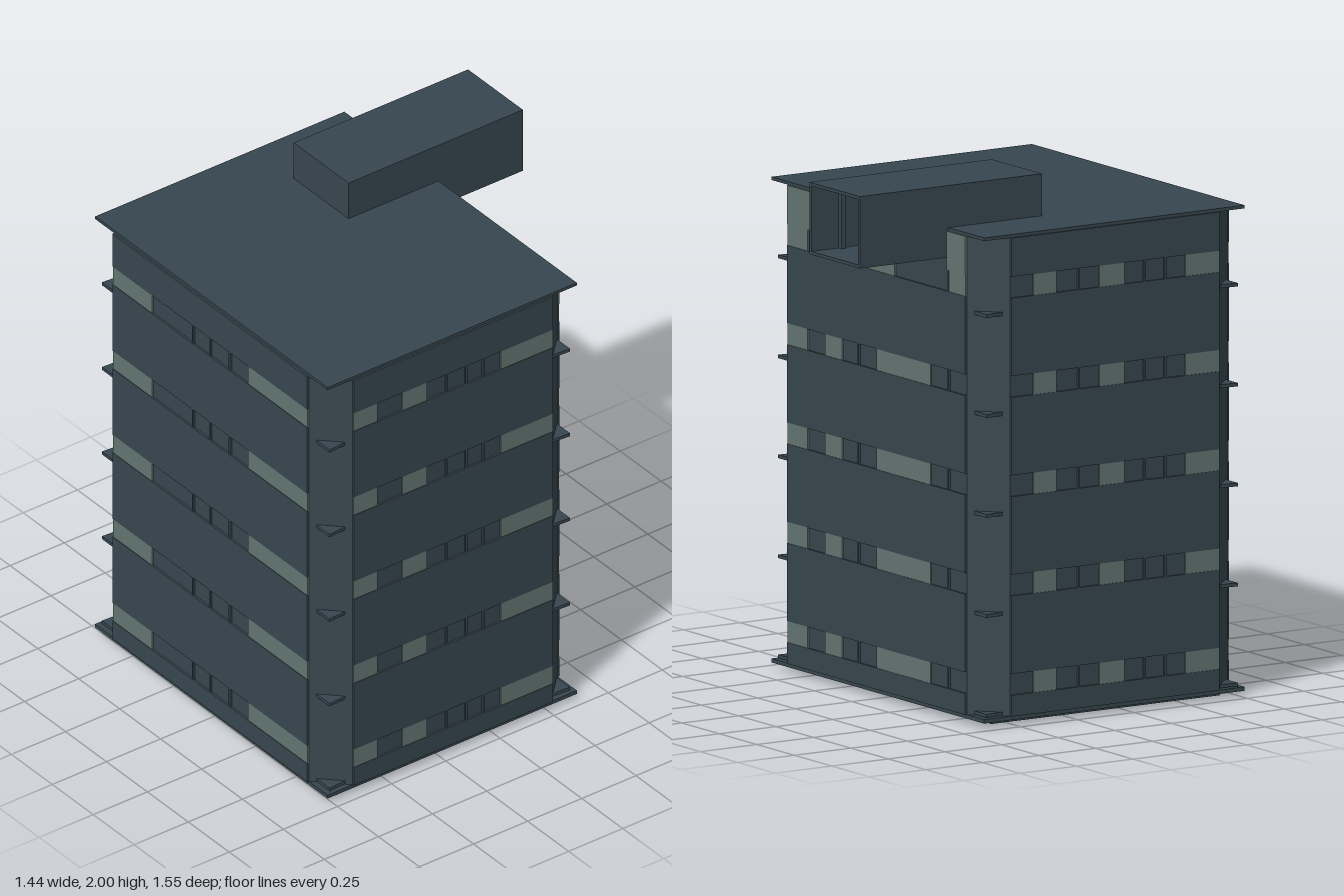
import * as THREE from 'three';

const wall = new THREE.MeshStandardMaterial({ color: 0x37474f });
wall.name = 'slate wall';
const glass = new THREE.MeshStandardMaterial({ color: 0x637572 });
glass.name = 'pale window';

const FLOORS = 5, PITCH = 0.3725, SILL = 0.115, WIN_H = 0.08, TOP = 1.83;
const X = 0.71, FRONT = 0.765, BACK = -0.385, CUT = 0.115; // plan extents and corner chamfer
const MID_Z = (FRONT + BACK) / 2;
const DUCT = { x0: -0.47, x1: -0.135, z0: -0.775, z1: 0.03, y0: 1.73, y1: 2.0 };

function add(parent, name, geometry, material) {
  const mesh = new THREE.Mesh(geometry, material);
  mesh.name = name;
  parent.add(mesh);
  return mesh;
}

// Box given by its minimum and maximum corners
function box(parent, name, x0, x1, y0, y1, z0, z1, material = wall) {
  const mesh = add(parent, name, new THREE.BoxGeometry(x1 - x0, y1 - y0, z1 - z0), material);
  mesh.position.set((x0 + x1) / 2, (y0 + y1) / 2, (z0 + z1) / 2);
  return mesh;
}

// Upright prism over a plan outline of [x, z] points
function prism(parent, name, plan, y0, y1) {
  const shape = new THREE.Shape(plan.map(([x, z]) => new THREE.Vector2(x, -z)));
  const geo = new THREE.ExtrudeGeometry(shape, { depth: y1 - y0, bevelEnabled: false });
  geo.rotateX(-Math.PI / 2);
  add(parent, name, geo, wall).position.y = y0;
}

// Plan outline with chamfered corners and an optional slot for the duct
function outline(cut, slot) {
  const notch = slot ? [[DUCT.x1, BACK], [DUCT.x1, DUCT.z1], [DUCT.x0, DUCT.z1], [DUCT.x0, BACK]] : [];
  if (!cut) return [[-X, FRONT], [X, FRONT], [X, BACK], ...notch, [-X, BACK]];
  return [
    [-X + cut, FRONT], [X - cut, FRONT], [X, FRONT - cut], [X, BACK + cut],
    [X - cut, BACK], ...notch, [-X + cut, BACK], [-X, BACK + cut], [-X, FRONT - cut],
  ];
}

// One flat side: spandrel bands, window panes and mullions, u running to the right
function facade(parent, spec) {
  const side = new THREE.Group();
  side.name = spec.name;
  side.position.set(...spec.at);
  side.rotation.y = spec.turn;
  parent.add(side);
  const h = spec.half;
  for (let i = 0; i <= FLOORS; i++) {
    const bottom = i === 0 ? 0.035 : SILL + (i - 1) * PITCH + WIN_H;
    const top = i === FLOORS ? TOP : SILL + i * PITCH;
    const crown = i === FLOORS && spec.crown;
    for (const [a, b] of crown || [[-h, h]]) {
      box(side, 'spandrel', a, b, bottom, top, 0, 0.008, crown ? glass : wall);
    }
    if (i === FLOORS) break;
    const panes = i === FLOORS - 1 && spec.topPanes ? spec.topPanes : spec.panes;
    for (const [a, b] of panes) box(side, 'window', a, b, top, top + WIN_H, 0, 0.006, glass);
    for (const u of spec.mullions) box(side, 'mullion', u - 0.004, u + 0.004, top, top + WIN_H, 0, 0.008);
  }
}

export function createModel() {
  const model = new THREE.Group();
  model.name = 'apartmentTower';

  // Foundation, ground slab, tower body and roof
  box(model, 'foundation', -0.645, 0.645, 0, 0.02, -0.31, 0.7);
  prism(model, 'groundSlab', outline(0, false), 0.02, 0.035);
  prism(model, 'towerBody', outline(CUT, false), 0.035, DUCT.y0);
  prism(model, 'topStorey', outline(CUT, true), DUCT.y0, TOP);
  prism(model, 'roof', outline(0, true), TOP, TOP + 0.012);

  // Four sides
  const h = X - CUT, s = (FRONT - BACK) / 2 - CUT;
  [
    { name: 'frontFacade', at: [0, 0, FRONT], turn: 0, half: h,
      panes: [[-h, -0.355], [0.23, h]], mullions: [-0.105, 0, 0.12] },
    { name: 'leftFacade', at: [X, 0, MID_Z], turn: Math.PI / 2, half: s,
      panes: [[-s, -0.35], [-0.235, -0.12], [0.22, s]], mullions: [-0.03, 0.06, 0.14] },
    { name: 'backFacade', at: [0, 0, BACK], turn: Math.PI, half: h,
      panes: [[-h, -0.46], [-0.345, -0.23], [0, 0.36]], mullions: [-0.12, 0.48],
      topPanes: [[-h, -0.46], [-0.345, -0.225], [-0.09, 0.12], [0.47, h]],
      crown: [[-h, -DUCT.x1], [-DUCT.x0, h]] },
    { name: 'rightFacade', at: [-X, 0, MID_Z], turn: -Math.PI / 2, half: s,
      panes: [[-0.36, -0.26], [-0.07, 0.04], [0.31, s]], mullions: [-0.16, 0.13, 0.22] },
  ].forEach((spec) => facade(model, spec));

  // Small triangular ledges on the chamfered corners
  for (const sx of [-1, 1]) {
    for (const [z, sz] of [[FRONT, 1], [BACK, -1]]) {
      const px = (d) => sx * (X - d), pz = (d) => z - sz * d;
      for (let i = 0; i < FLOORS; i++) {
        const y = 0.037 + i * 0.375;
        prism(model, 'cornerLedge',
          [[px(0.095), pz(0.02)], [px(0.015), pz(0.02)], [px(0.02), pz(0.095)]], y, y + 0.013);
      }
    }
  }

  // Hollow rooftop duct, open at the back
  const { x0, x1, y0, y1, z0, z1 } = DUCT, t = 0.012;
  const duct = new THREE.Group();
  duct.name = 'rooftopDuct';
  model.add(duct);
  box(duct, 'ductFloor', x0, x1, y0, y0 + t, z0, z1);
  box(duct, 'ductCeiling', x0, x1, y1 - t, y1, z0, z1);
  box(duct, 'ductWall', x0, x0 + t, y0 + t, y1 - t, z0, z1);
  box(duct, 'ductWall', x1 - t, x1, y0 + t, y1 - t, z0, z1);
  box(duct, 'ductEnd', x0 + t, x1 - t, y0 + t, y1 - t, z1 - t, z1);
  // Ribs along the inside walls
  for (let i = 0; i < 4; i++) {
    const z = z0 + 0.12 + i * 0.17;
    box(duct, 'ductRib', x0 + t, x0 + 0.03, y0 + t, y1 - t, z, z + 0.02);
    box(duct, 'ductRib', x1 - 0.03, x1 - t, y0 + t, y1 - t, z, z + 0.02);
  }

  return model;
}
